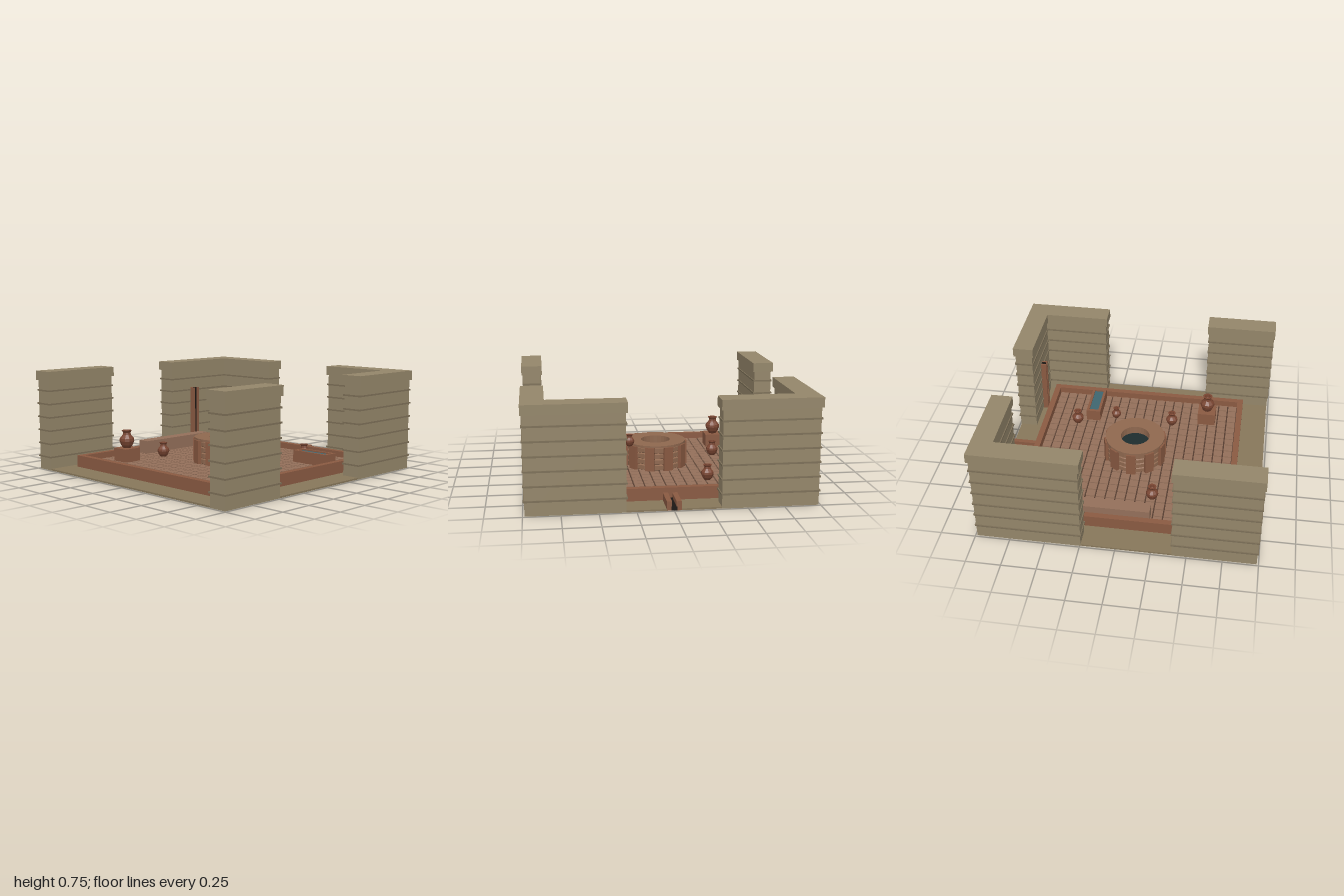
import * as THREE from 'three';

const mat = (color, extra = {}) => new THREE.MeshStandardMaterial({ color, flatShading: true, ...extra });

export function createModel() {
  const root = new THREE.Group();
  const stone = mat(0x94866a), ledgeStone = mat(0x7d7058), ground = mat(0x87775a);
  const brick = mat(0x8a5a42), tile = mat(0x94705a), grout = mat(0x553c30);
  const dark = mat(0x1c1714), clay = mat(0x7a4632, { side: THREE.DoubleSide });
  const pool = mat(0x3f6670), deep = mat(0x1e2c2e);

  const group = (name, parent = root) => {
    const g = new THREE.Group();
    g.name = name;
    parent.add(g);
    return g;
  };
  // Box given by its limits on each axis
  const box = (name, m, [x0, x1], [y0, y1], [z0, z1], parent = root) => {
    const b = new THREE.Mesh(new THREE.BoxGeometry(x1 - x0, y1 - y0, z1 - z0), m);
    b.position.set((x0 + x1) / 2, (y0 + y1) / 2, (z0 + z1) / 2);
    b.name = name;
    parent.add(b);
    return b;
  };

  // Ground and raised courtyard edge
  box('groundSlab', ground, [-0.985, 0.985], [0, 0.012], [-0.985, 0.985]);
  const court = group('courtyard');
  box('courtBed', grout, [-0.75, 0.75], [0.002, 0.043], [-0.75, 0.75], court);
  for (const s of [-1, 1]) {
    const side = s < 0 ? [-0.79, -0.745] : [0.745, 0.79];
    box('courtKerb', brick, side, [0.002, 0.1], [-0.79, 0.79], court);
    box('courtKerb', brick, [-0.745, 0.745], [0.002, 0.1], side, court);
  }

  // Floor tiles
  const pitch = 1.49 / 20;
  const tiles = group('floorTiles', court);
  const tileGeo = new THREE.BoxGeometry(pitch - 0.01, 0.02, pitch - 0.01);
  for (let i = 0; i < 20; i++) {
    for (let j = 0; j < 20; j++) {
      const t = new THREE.Mesh(tileGeo, tile);
      t.name = 'tile';
      t.position.set((i - 9.5) * pitch, 0.046, (j - 9.5) * pitch);
      tiles.add(t);
    }
  }

  // Ruined walls with courses and capstones: limits of each cap in x and z
  const walls = [
    [[-1, -0.31], [-1, -0.845]], [[-1, -0.84], [-1, -0.23]],
    [[0.305, 1], [-1, -0.845]], [[0.84, 1], [-1, -0.355]],
    [[-1, -0.84], [0.385, 1]], [[0.84, 1], [0.465, 1]],
  ];
  const inset = ([a, b], d) => [a + d, b - d];
  walls.forEach(([x, z]) => {
    const w = group('wall');
    box('wallBody', stone, inset(x, 0.013), [0, 0.68], inset(z, 0.013), w);
    for (let k = 1; k <= 6; k++)
      box('wallCourse', ledgeStone, inset(x, 0.005), [k * 0.1 - 0.006, k * 0.1 + 0.006], inset(z, 0.005), w);
    box('wallCap', stone, x, [0.675, 0.745], z, w);
  });

  // Well: courses, ring top, pilasters and water
  const well = group('well');
  const lathe = (name, pts, sides, m, parent) => {
    const l = new THREE.Mesh(new THREE.LatheGeometry(pts.map(p => new THREE.Vector2(...p)), sides), m);
    l.name = name;
    parent.add(l);
    return l;
  };
  const profile = [[0.11, 0.06], [0.205, 0.055]];
  for (let k = 0; k < 4; k++) {
    const y = 0.055 + k * 0.043;
    profile.push([0.217, y + 0.006], [0.217, y + 0.037], [0.205, y + 0.043]);
  }
  profile.push([0.226, 0.227], [0.226, 0.245], [0.11, 0.245], [0.11, 0.06]);
  lathe('wellRing', profile, 24, mat(0x8f684f, { side: THREE.DoubleSide }), well);
  for (let k = 0; k < 10; k++) {
    const a = (k / 10) * Math.PI * 2;
    const p = box('wellPilaster', brick, [-0.014, 0.014], [0.055, 0.232], [-0.035, 0.035], well);
    p.position.x = 0.222 * Math.cos(a);
    p.position.z = -0.222 * Math.sin(a);
    p.rotation.y = a;
  }
  const water = new THREE.Mesh(new THREE.CylinderGeometry(0.111, 0.111, 0.01, 24), deep);
  water.position.y = 0.18;
  water.name = 'wellWater';
  well.add(water);

  // Bench along the left side and pot stands
  box('bench', tile, [-0.745, -0.65], [0.05, 0.155], [-0.46, 0.21]);
  for (const x of [-0.537, 0.533]) box('potStand', brick, [x - 0.068, x + 0.068], [0.05, 0.155], [0.44, 0.58]);

  // Basin with water
  const basin = group('basin');
  box('basinFloor', brick, [0.4, 0.705], [0.05, 0.12], [-0.45, -0.35], basin);
  box('basinWater', pool, [0.42, 0.685], [0.12, 0.135], [-0.437, -0.365], basin);
  box('basinSide', brick, [0.395, 0.71], [0.05, 0.145], [-0.457, -0.437], basin);
  box('basinSide', brick, [0.395, 0.71], [0.05, 0.145], [-0.365, -0.345], basin);
  box('basinEnd', brick, [0.395, 0.42], [0.05, 0.145], [-0.437, -0.365], basin);
  box('basinEnd', brick, [0.685, 0.71], [0.05, 0.145], [-0.437, -0.365], basin);

  // Clay pots: x, floor height, z, belly radius
  const potProfile = [[0, 0], [0.5, 0], [0.8, 0.4], [1, 0.95], [0.96, 1.3], [0.55, 1.8], [0.5, 2.1], [0.68, 2.4], [0.4, 2.4], [0.36, 1.9], [0, 1.7]];
  const pots = [
    [-0.315, 0.055, -0.48, 0.046], [0.355, 0.055, -0.52, 0.046],
    [-0.475, 0.055, 0.195, 0.046], [0.435, 0.055, 0.235, 0.046],
    [0.215, 0.245, -0.18, 0.036],
    [-0.537, 0.155, 0.51, 0.056], [0.533, 0.155, 0.51, 0.056],
  ];
  for (const [x, y, z, r] of pots) {
    const p = lathe('pot', potProfile, 10, clay, root);
    p.position.set(x, y, z);
    p.scale.setScalar(r);
  }

  // Drain running out through the back opening
  const drain = group('drain');
  box('drainBed', dark, [-0.02, 0.02], [0.002, 0.03], [-0.99, -0.785], drain);
  box('drainSide', brick, [-0.05, -0.015], [0.002, 0.065], [-0.99, -0.785], drain);
  box('drainSide', brick, [0.015, 0.05], [0.002, 0.065], [-0.99, -0.785], drain);

  // Downpipes against the walls, each a dark channel between two slats
  const pipe = (x, z, height, turn) => {
    const g = group('downpipe');
    g.position.set(x, 0, z);
    g.rotation.y = turn;
    box('pipeChannel', dark, [-0.013, 0.013], [0.01, height], [-0.02, 0.01], g);
    box('pipeSlat', brick, [-0.03, -0.013], [0.01, height], [-0.02, 0.02], g);
    box('pipeSlat', brick, [0.013, 0.03], [0.01, height], [-0.02, 0.02], g);
  };
  pipe(-0.83, -0.48, 0.52, Math.PI / 2);
  pipe(0.592, -0.835, 0.44, 0);

  return root;
}
